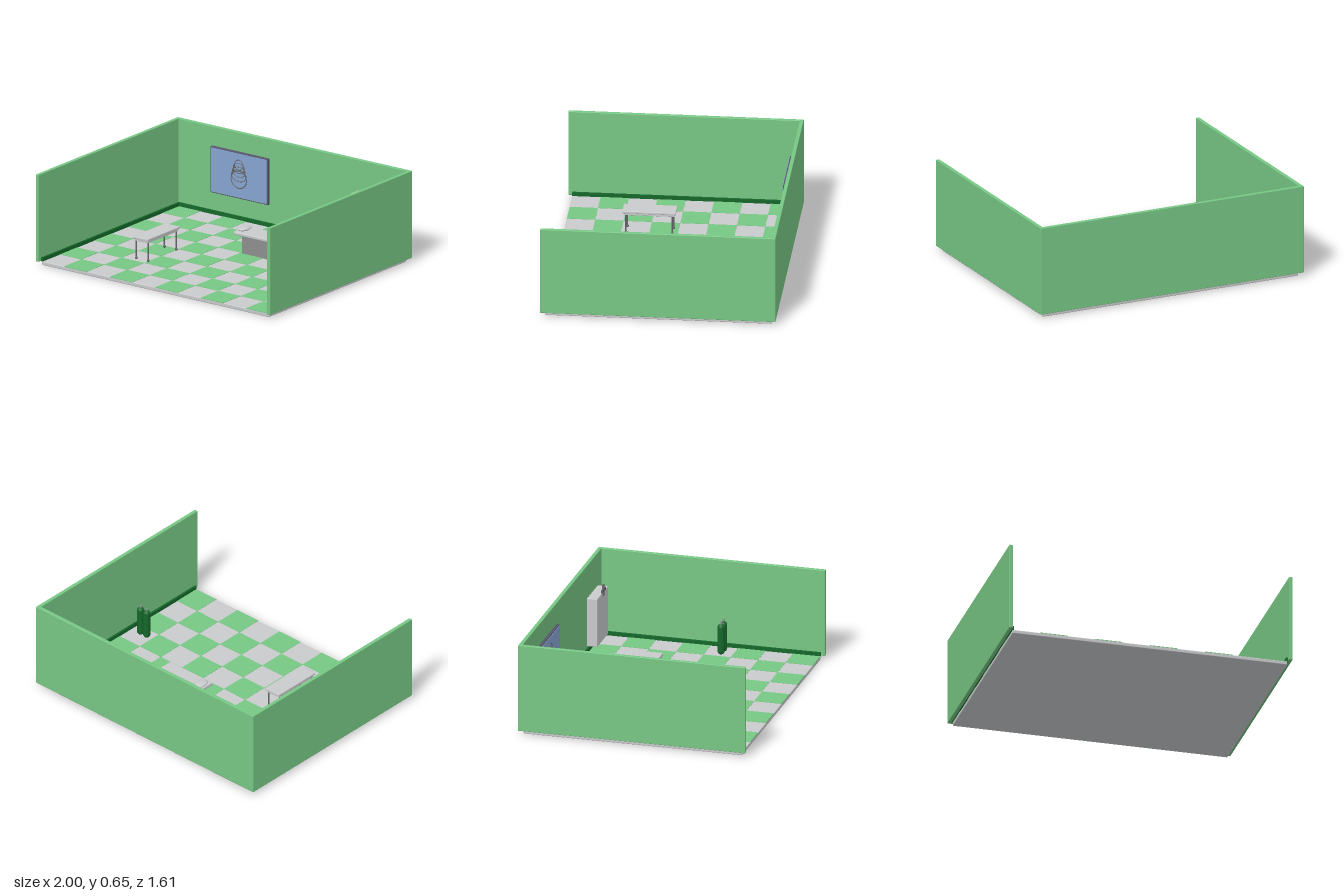
import * as THREE from 'three';
import { RoundedBoxGeometry } from 'three/addons/geometries/RoundedBoxGeometry.js';

const mat = (name, color) => new THREE.MeshStandardMaterial({ name, color });

export function createModel() {
  const room = new THREE.Group();
  room.name = 'clinicRoom';

  const green = mat('wall green', 0x77c784);
  const darkGreen = mat('dark green', 0x15682a);
  const white = mat('pale grey', 0xc9cacc);
  const grey = mat('mid grey', 0x8e8e8e);
  const metal = mat('dark metal', 0x66666a);
  const blue = mat('screen blue', 0x86a5d0);
  const frameGrey = mat('frame grey', 0x55566a);

  const add = (name, geometry, material, x, y, z, parent = room) => {
    const m = new THREE.Mesh(geometry, material);
    m.name = name;
    m.position.set(x, y, z);
    parent.add(m);
    return m;
  };
  // Box from its limits, with optional rounded edges
  const box = (name, material, [x0, x1], [y0, y1], [z0, z1], r = 0, parent = room) => {
    const size = [x1 - x0, y1 - y0, z1 - z0];
    const g = r ? new RoundedBoxGeometry(...size, 2, r) : new THREE.BoxGeometry(...size);
    return add(name, g, material, (x0 + x1) / 2, (y0 + y1) / 2, (z0 + z1) / 2, parent);
  };
  const group = (name) => {
    const g = new THREE.Group();
    g.name = name;
    room.add(g);
    return g;
  };

  // Floor slab with a checkerboard of thin green tiles
  box('floorSlab', white, [-0.97, 0.97], [0, 0.027], [-0.776, 0.776], 0.006);
  const tiles = group('floorTiles');
  const step = 0.194;
  for (let i = 0; i < 10; i++) {
    for (let j = 0; j < 8; j++) {
      if ((i + j) % 2) continue;
      const x = -0.97 + i * step, z = -0.776 + j * step;
      box('greenTile', green, [x, x + step], [0.024, 0.029], [z, z + step], 0, tiles);
    }
  }

  // Walls and skirting
  box('backWall', green, [-1, 1], [0.028, 0.65], [-0.805, -0.778], 0.004);
  box('backSkirting', darkGreen, [-0.976, 0.976], [0.027, 0.054], [-0.78, -0.764]);
  for (const s of [-1, 1]) {
    const side = (a, b) => (s > 0 ? [a, b] : [-b, -a]);
    box('sideWall', green, side(0.974, 1), [0.028, 0.65], [-0.805, 0.805], 0.004);
    box('sideSkirting', darkGreen, side(0.96, 0.976), [0.027, 0.054], [-0.776, 0.776]);
  }

  // Wall screen with a pattern of rings
  const screen = group('wallScreen');
  box('screenFrame', frameGrey, [-0.675, -0.185], [0.19, 0.52], [-0.764, -0.742], 0.004, screen);
  box('screenPanel', blue, [-0.667, -0.193], [0.198, 0.512], [-0.744, -0.738], 0, screen);
  const rings = [[0.432, 0.036, 0.036], [0.408, 0.048, 0.036], [0.382, 0.056, 0.036],
    [0.355, 0.062, 0.042], [0.328, 0.065, 0.062]];
  for (const [y, rx, ry] of rings) {
    const ring = add('screenRing', new THREE.TorusGeometry(1, 0.06, 6, 32), metal, -0.43, y, -0.737, screen);
    ring.scale.set(rx, ry, 0.05);
  }
  for (const s of [-1, 1]) {
    const line = new THREE.LineCurve3(
      new THREE.Vector3(-0.43 + s * 0.036, 0.435, -0.737),
      new THREE.Vector3(-0.43 + s * 0.063, 0.34, -0.737));
    add('ringSide', new THREE.TubeGeometry(line, 1, 0.003, 6), metal, 0, 0, 0, screen);
  }

  // Wall cabinet with a cross standing up from its front
  const cabinet = group('cabinet');
  box('cabinetBody', white, [0.562, 0.833], [0.087, 0.435], [-0.764, -0.69], 0.004, cabinet);
  box('crossBar', metal, [0.657, 0.739], [0.445, 0.466], [-0.692, -0.679], 0.002, cabinet);
  box('crossPost', metal, [0.688, 0.708], [0.414, 0.496], [-0.692, -0.679], 0.002, cabinet);

  // Examination bed with pillow
  const bed = group('examinationBed');
  box('bedBase', grey, [0.018, 0.29], [0.027, 0.158], [-0.295, -0.18], 0, bed);
  box('bedTop', white, [-0.042, 0.346], [0.155, 0.18], [-0.317, -0.16], 0.008, bed);
  add('pillow', new THREE.SphereGeometry(1, 24, 16), white, -0.003, 0.19, -0.238, bed)
    .scale.set(0.037, 0.014, 0.059);

  // Trolley table on four castors
  const trolley = group('trolley');
  box('trolleyTop', white, [-0.496, -0.366], [0.18, 0.196], [0.01, 0.377], 0.004, trolley);
  box('trolleyUnderside', white, [-0.488, -0.374], [0.164, 0.182], [0.02, 0.367], 0.003, trolley);
  for (const x of [-0.482, -0.38]) {
    for (const z of [0.035, 0.352]) {
      add('trolleyLeg', new THREE.CylinderGeometry(0.005, 0.005, 0.13, 10), metal, x, 0.105, z, trolley);
      add('castor', new THREE.SphereGeometry(0.01, 12, 8), metal, x, 0.038, z, trolley);
    }
  }

  // Pair of gas bottles
  for (const x of [0.816, 0.873]) {
    const bottle = group('gasBottle');
    add('bottleBody', new THREE.CapsuleGeometry(0.025, 0.17, 8, 20), darkGreen, x, 0.138, 0.115, bottle);
    add('bottleValve', new THREE.CylinderGeometry(0.006, 0.008, 0.02, 12), grey, x, 0.255, 0.115, bottle);
  }
  return room;
}
